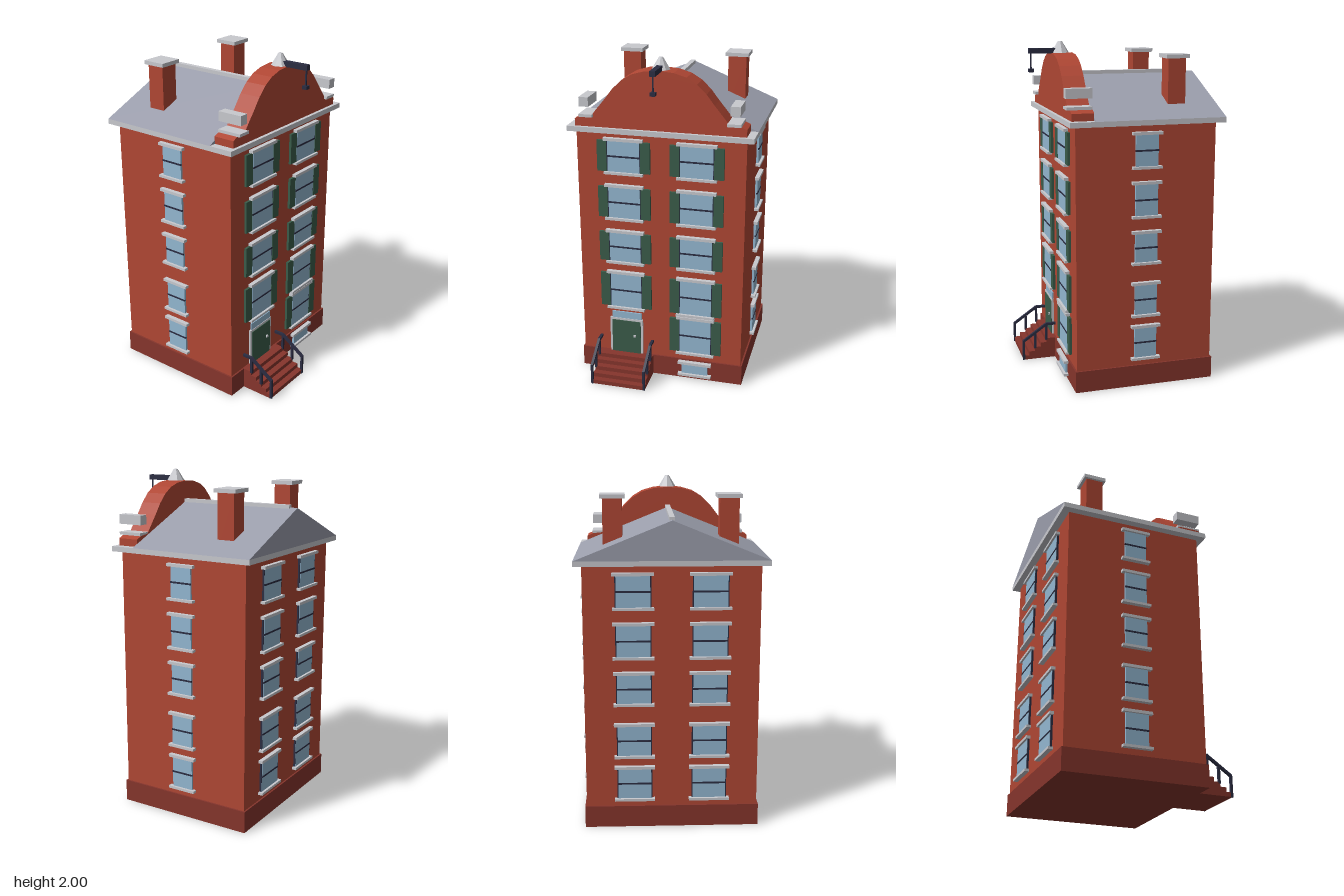
import * as THREE from 'three';

const mat = (name, color) => Object.assign(new THREE.MeshStandardMaterial({ color }), { name });

export function createModel() {
  const brick = mat('brick red', 0xb04734), plinth = mat('dark brick', 0x86352c);
  const stone = mat('pale stone', 0xc8c9ce), slate = mat('slate grey', 0x9b9eac);
  const glass = mat('window blue', 0x93b7d1), iron = mat('dark iron', 0x2b2d42);
  const green = mat('shutter green', 0x3a5c4a);
  const model = new THREE.Group();
  model.name = 'townHouse';

  const add = (parent, name, geo, material) => {
    const m = new THREE.Mesh(geo, material);
    m.name = name;
    parent.add(m);
    return m;
  };
  // Box given by its limits on each axis
  const box = (parent, name, material, x0, x1, y0, y1, z0, z1) => {
    const m = add(parent, name, new THREE.BoxGeometry(x1 - x0, y1 - y0, z1 - z0), material);
    m.position.set((x0 + x1) / 2, (y0 + y1) / 2, (z0 + z1) / 2);
    return m;
  };
  // Outline in x and y, pushed from z0 to z1
  const slab = (name, material, pts, z0, z1) => {
    const shape = new THREE.Shape(pts.map(p => new THREE.Vector2(...p)));
    const m = add(model, name, new THREE.ExtrudeGeometry(shape, { depth: z1 - z0, bevelEnabled: false }), material);
    m.position.z = z0;
    return m;
  };

  // Main block
  box(model, 'plinth', plinth, -0.51, 0.51, 0, 0.13, -0.51, 0.335);
  box(model, 'walls', brick, -0.5, 0.5, 0.13, 1.56, -0.5, 0.325);
  box(model, 'cornice', stone, -0.545, 0.545, 1.56, 1.59, -0.545, 0.365);

  // Roof with ridge and chimneys
  slab('roof', slate, [[-0.545, 1.59], [0.545, 1.59], [0, 1.81]], -0.545, 0.218);
  box(model, 'ridgeCap', stone, -0.015, 0.015, 1.795, 1.825, -0.5, 0.218);
  for (const s of [-1, 1]) {
    const x = s * 0.33;
    box(model, 'chimney', brick, x - 0.055, x + 0.055, 1.6, 1.915, -0.355, -0.25);
    box(model, 'chimneyCap', stone, x - 0.07, x + 0.07, 1.913, 1.935, -0.373, -0.235);
  }

  // Curved front gable
  const half = [[0.5, 1.59], [0.5, 1.632], [0.465, 1.648], [0.4, 1.655], [0.36, 1.705], [0.317, 1.757],
    [0.27, 1.818], [0.216, 1.87], [0.158, 1.905], [0.085, 1.926]];
  const mirrored = half.map(([x, y]) => [-x, y]).reverse();
  slab('gable', brick, [...half, [0, 1.933], ...mirrored], 0.217, 0.345);
  for (const s of [-1, 1]) {
    const x = s * 0.43;
    box(model, 'shoulderStone', stone, x - 0.04, x + 0.04, 1.648, 1.665, 0.218, 0.365);
    const b = s * 0.437;
    box(model, 'gableBlock', stone, b - 0.028, b + 0.028, 1.71, 1.765, 0.217, 0.367);
  }

  // Finial and hoist
  const finial = add(model, 'finial',
    new THREE.CylinderGeometry(0.012, 0.053, 0.067, 8).toNonIndexed(), stone);
  finial.geometry.computeVertexNormals();
  finial.position.set(0, 1.9665, 0.29);
  box(model, 'hoistBeam', iron, -0.016, 0.016, 1.93, 1.96, 0.29, 0.478);
  box(model, 'hoistRope', iron, -0.004, 0.004, 1.835, 1.935, 0.461, 0.469);
  box(model, 'hoistHook', iron, -0.015, 0.015, 1.822, 1.842, 0.45, 0.48);

  // Window facing +z around its own origin; y limits are those of the glass
  const windowUnit = (name, y0, y1, w, capW, { shutters = false, jambs = false, bar = true } = {}) => {
    const g = new THREE.Group();
    g.name = name;
    const h = w / 2, c = capW / 2, mid = (y0 + y1) / 2;
    if (jambs) box(g, 'windowFrame', iron, -h - 0.004, h + 0.004, y0, y1, -0.01, 0.011);
    box(g, 'pane', glass, -h + 0.002, h - 0.002, y0, y1, jambs ? 0.005 : -0.01, 0.0135);
    if (bar) box(g, 'glazingBar', iron, -h, h, mid - 0.005, mid + 0.005, 0.008, 0.016);
    box(g, 'lintel', stone, -c, c, y1, y1 + 0.017, -0.01, 0.026);
    box(g, 'sill', stone, -c, c, y0 - 0.015, y0, -0.01, 0.028);
    if (shutters) for (const s of [-1, 1])
      box(g, 'shutter', green, s * 0.13 - 0.029, s * 0.13 + 0.029, y0, y1, -0.01, 0.015);
    model.add(g);
    return g;
  };

  // Front windows; the door takes the place of the lowest one on -x
  const frontRows = [[0.185, 0.412], [0.448, 0.671], [0.755, 0.942], [1.038, 1.23], [1.325, 1.512]];
  frontRows.forEach(([y0, y1], i) => {
    for (const s of i ? [-1, 1] : [1])
      windowUnit('frontWindow', y0, y1, 0.196, 0.235, { shutters: true, jambs: true })
        .position.set(s * 0.217, 0, 0.325);
  });
  windowUnit('basementWindow', 0.04, 0.105, 0.165, 0.208, { bar: false }).position.set(0.217, 0, 0.335);

  // Back and side windows
  const rows = [[0.182, 0.365], [0.448, 0.628], [0.765, 0.935], [1.04, 1.222], [1.325, 1.504]];
  for (const [y0, y1] of rows) {
    for (const s of [-1, 1]) {
      const back = windowUnit('backWindow', y0, y1, 0.196, 0.235, { jambs: true });
      back.position.set(s * 0.217, 0, -0.5);
      back.rotation.y = Math.PI;
      const side = windowUnit('sideWindow', y0, y1, 0.137, 0.175);
      side.position.set(s * 0.5, 0, -0.087);
      side.rotation.y = s * Math.PI / 2;
    }
  }

  // Front door with transom
  box(model, 'doorFrame', stone, -0.325, -0.115, 0.13, 0.365, 0.32, 0.337);
  box(model, 'door', green, -0.311, -0.128, 0.13, 0.351, 0.333, 0.341);
  box(model, 'doorKnob', stone, -0.172, -0.158, 0.245, 0.259, 0.335, 0.35);
  box(model, 'transom', glass, -0.311, -0.122, 0.365, 0.408, 0.32, 0.334);

  // Steps
  [0.54, 0.503, 0.465, 0.427, 0.39].forEach((z, i) =>
    box(model, 'step', plinth, -0.39, -0.05, i * 0.026, (i + 1) * 0.026, 0.33, z));

  // Railings
  const railPath = [[0.535, 0.125], [0.39, 0.225], [0.333, 0.225]];
  for (const x of [-0.384, -0.055]) {
    for (const [z, y0, y1] of [[0.537, 0, 0.13], [0.462, 0.07, 0.178], [0.39, 0.12, 0.228]])
      box(model, 'railPost', iron, x - 0.007, x + 0.007, y0, y1, z - 0.007, z + 0.007);
    for (let i = 0; i < 2; i++) {
      const [za, ya] = railPath[i], [zb, yb] = railPath[i + 1];
      const rail = add(model, 'handrail',
        new THREE.BoxGeometry(0.016, 0.015, Math.hypot(zb - za, yb - ya) + 0.008), iron);
      rail.position.set(x, (ya + yb) / 2, (za + zb) / 2);
      rail.rotation.x = Math.atan2(yb - ya, za - zb);
    }
  }
  return model;
}
